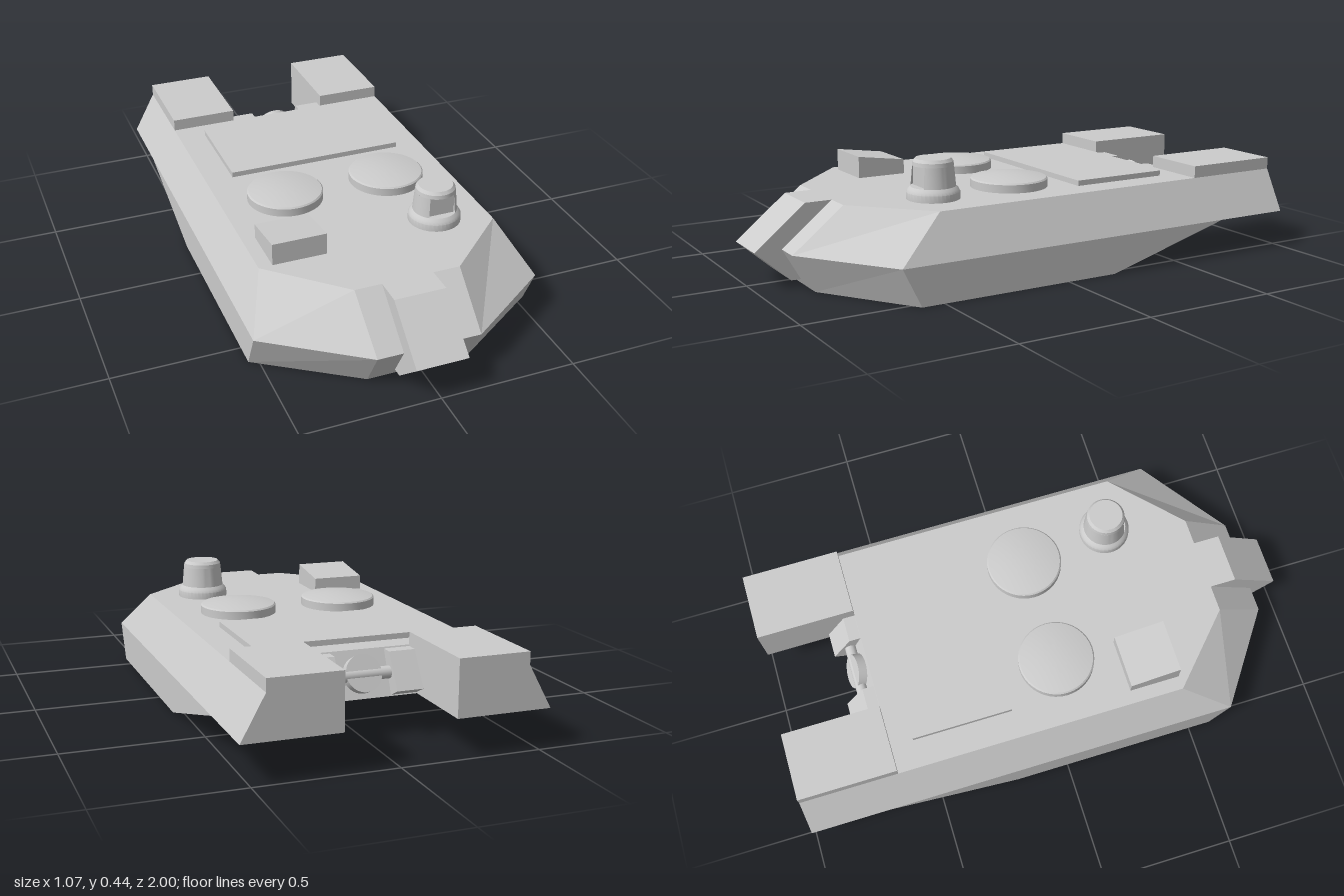
import * as THREE from 'three';
import { toCreasedNormals } from 'three/addons/utils/BufferGeometryUtils.js';

const material = new THREE.MeshStandardMaterial({ color: 0xcccccc, side: THREE.DoubleSide });
const DECK = 0.295;

// Hull lofted through mirrored rings of half-outlines [x, y, z], front to back
function hullGeometry(levels) {
  const pos = [];
  const quad = (a, b, c, d) => pos.push(...a, ...b, ...c, ...a, ...c, ...d);
  const flip = ([x, y, z]) => [-x, y, z];
  const rings = levels.map(h => [...h, ...h.map(flip).reverse()]);
  const n = rings[0].length;
  for (let k = 0; k < rings.length - 1; k++) {
    const lo = rings[k], up = rings[k + 1];
    for (let i = 0; i < n; i++) {
      const j = (i + 1) % n;
      quad(lo[i], lo[j], up[j], up[i]);
    }
  }
  const bottom = levels[0], top = levels[levels.length - 1];
  for (let i = 0; i < top.length - 1; i++) {
    quad(top[i], top[i + 1], flip(top[i + 1]), flip(top[i]));
    quad(bottom[i + 1], bottom[i], flip(bottom[i]), flip(bottom[i + 1]));
  }
  const g = new THREE.BufferGeometry();
  g.setAttribute('position', new THREE.Float32BufferAttribute(pos, 3));
  g.computeVertexNormals();
  return g;
}

const extrude = (points, depth) => new THREE.ExtrudeGeometry(
  new THREE.Shape(points.map(p => new THREE.Vector2(...p))), { depth, bevelEnabled: false });

// Profile of [z, y] points extruded across x, centred on x = 0
const crossExtrude = (points, width) =>
  extrude(points, width).translate(0, 0, -width / 2).rotateY(-Math.PI / 2);

const lathe = (points, start = 0, length = Math.PI * 2) => toCreasedNormals(
  new THREE.LatheGeometry(points.map(p => new THREE.Vector2(...p)), 40, start, length), 0.5);

export function createModel() {
  const group = new THREE.Group();
  const add = (name, geometry, x = 0, y = 0, z = 0) => {
    const mesh = new THREE.Mesh(geometry, material);
    mesh.name = name;
    mesh.position.set(x, y, z);
    group.add(mesh);
    return mesh;
  };

  // Faceted body: floor, widest line and deck
  add('turretBody', hullGeometry([
    [[0.19, 0, 0.82], [0.535, 0, 0.585], [0.535, 0, -0.2], [0.535, 0.14, -0.7]],
    [[0.19, 0.14, 0.9], [0.535, 0.14, 0.655], [0.535, 0.14, -0.2], [0.535, 0.14, -0.7]],
    [[0.195, DECK, 0.71], [0.45, DECK, 0.47], [0.45, DECK, -0.2], [0.45, DECK, -0.63]],
  ]));

  // Pointed centre block at the front
  add('noseBlock', crossExtrude(
    [[0.6, DECK], [0.81, DECK], [1, 0.14], [0.87, 0.025], [0.6, 0.02]], 0.19));

  // Rear bins, small rear brackets and hatches on both sides
  for (const s of [1, -1]) {
    const side = s > 0 ? 'left' : 'right';
    add(side + 'RearBin', extrude([[0.195, 0.14], [0.535, 0.14], [0.45, DECK],
      [0.45, 0.34], [0.195, 0.34]].map(([x, y]) => [s * x, y]), 0.37), 0, 0, -1);
    add(side + 'RearBracket', crossExtrude(
      [[-0.62, 0.29], [-0.675, 0.29], [-0.75, 0.17], [-0.69, 0.14], [-0.62, 0.14]], 0.096), s * 0.147);
    add(side + 'Hatch', lathe([[0.143, 0], [0.143, 0.03], [0.138, 0.035],
      [0.1, 0.042], [0.05, 0.047], [0, 0.049]]), s * 0.205, DECK, 0.05);
  }

  // Tilted drum on a cross shaft between the brackets
  add('rearShaft', new THREE.CylinderGeometry(0.022, 0.022, 0.2, 16).rotateZ(Math.PI / 2), 0, 0.22, -0.68);
  add('rearDrum', new THREE.CylinderGeometry(0.065, 0.065, 0.045, 32).rotateX(-1.15), 0, 0.22, -0.675);

  // Deck panel
  add('deckPanel', new THREE.BoxGeometry(0.69, 0.03, 0.38), 0, 0.3, -0.355);

  // Sight box, its roof rising toward the front
  add('sightBox', crossExtrude([[0.28, 0.28], [0.47, 0.28], [0.47, 0.377], [0.28, 0.35]], 0.2), -0.3);

  // Round sight with a recessed front window
  const sight = new THREE.Group();
  sight.name = 'roundSight';
  sight.position.set(0.25, DECK, 0.39);
  const part = (name, geometry) => {
    const mesh = new THREE.Mesh(geometry, material);
    mesh.name = name;
    sight.add(mesh);
  };
  part('sightBase', lathe([[0.096, 0], [0.096, 0.025], [0.09, 0.036], [0.081, 0.045], [0, 0.045]]));
  part('sightShell', lathe([[0.081, 0.045], [0.074, 0.12]], 0.68, Math.PI * 2 - 1.36));
  part('sightCap', lathe([[0, 0.12], [0.074, 0.12], [0.072, 0.134], [0.063, 0.145], [0, 0.145]]));
  part('sightWindow', new THREE.BoxGeometry(0.1, 0.08, 0.02).translate(0, 0.082, 0.043));
  group.add(sight);

  return group;
}
